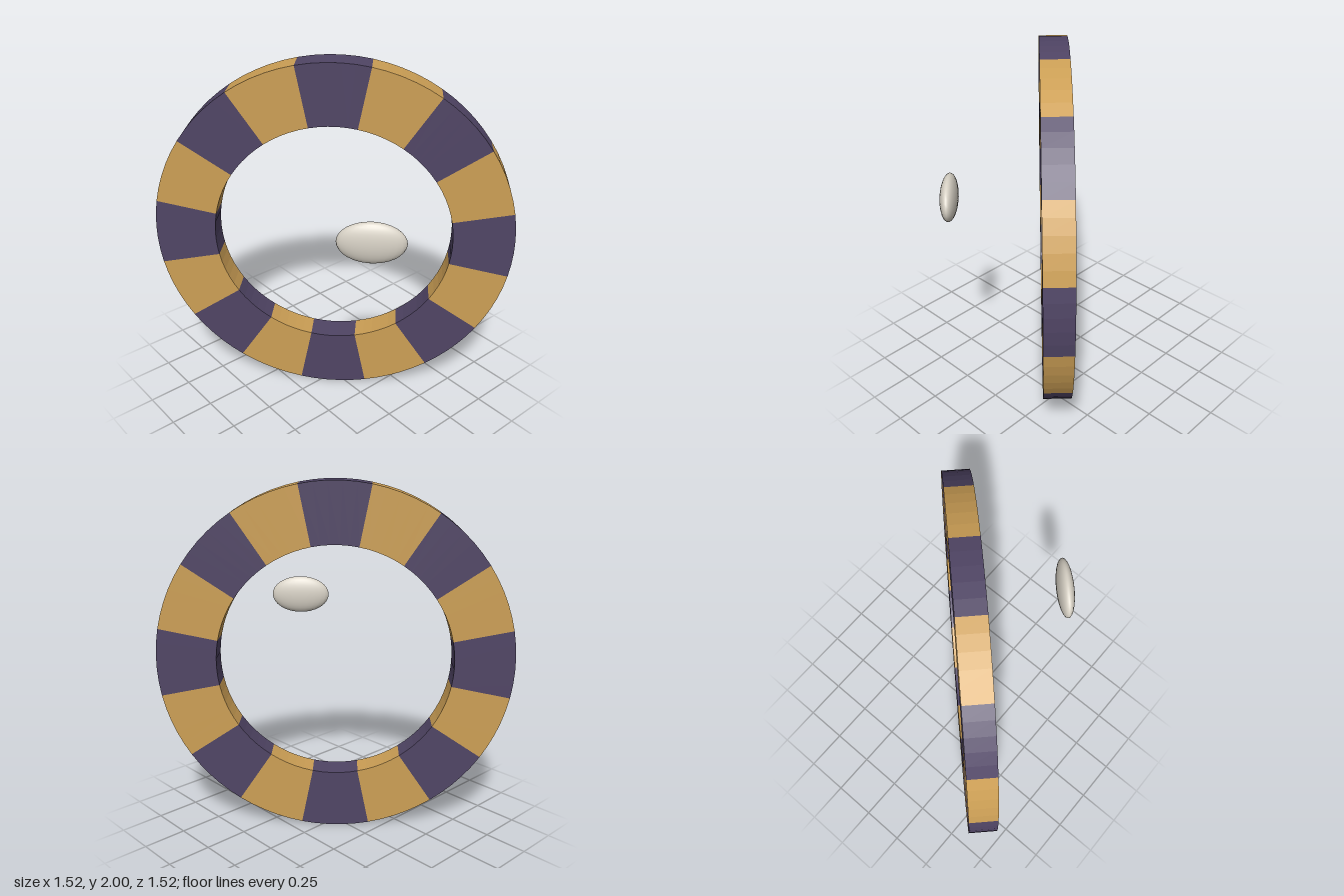
import * as THREE from 'three';

export function createModel() {
  const mat = (name, color) => {
    const m = new THREE.MeshStandardMaterial({ color });
    m.name = name;
    return m;
  };
  const gold = mat('gold', 0xcc9f55);
  const purple = mat('darkPurple', 0x504565);
  const pale = mat('paleGrey', 0xd8d2c6);

  const model = new THREE.Group();
  model.name = 'stripedRing';

  // everything is turned 45 degrees about the vertical axis
  const turned = new THREE.Group();
  turned.name = 'turnedAssembly';
  turned.rotation.y = Math.PI / 4;
  turned.position.y = 1;
  model.add(turned);

  // ring of sixteen alternating blocks, flat faced, without inner end walls
  const outer = 1, inner = 0.663, half = 0.075, count = 16;
  const step = (Math.PI * 2) / count;
  const profile = [[inner, -half], [outer, -half], [outer, half], [inner, half], [inner, -half]]
    .map(([r, y]) => new THREE.Vector2(r, y));
  const ring = new THREE.Group();
  ring.name = 'ring';
  turned.add(ring);
  for (let i = 0; i < count; i++) {
    const geo = new THREE.LatheGeometry(profile, 5, (i - 0.5) * step, step).toNonIndexed();
    geo.computeVertexNormals();
    geo.rotateX(-Math.PI / 2);
    const block = new THREE.Mesh(geo, i % 2 ? gold : purple);
    block.name = 'ringBlock' + (i + 1);
    ring.add(block);
  }

  // flattened floating pebble in front of the ring
  const pebble = new THREE.Mesh(new THREE.SphereGeometry(1, 24, 16), pale);
  pebble.name = 'floatingPebble';
  pebble.scale.set(0.175, 0.113, 0.047);
  pebble.position.set(0.23, 0.257, 0.552);
  turned.add(pebble);

  return model;
}
